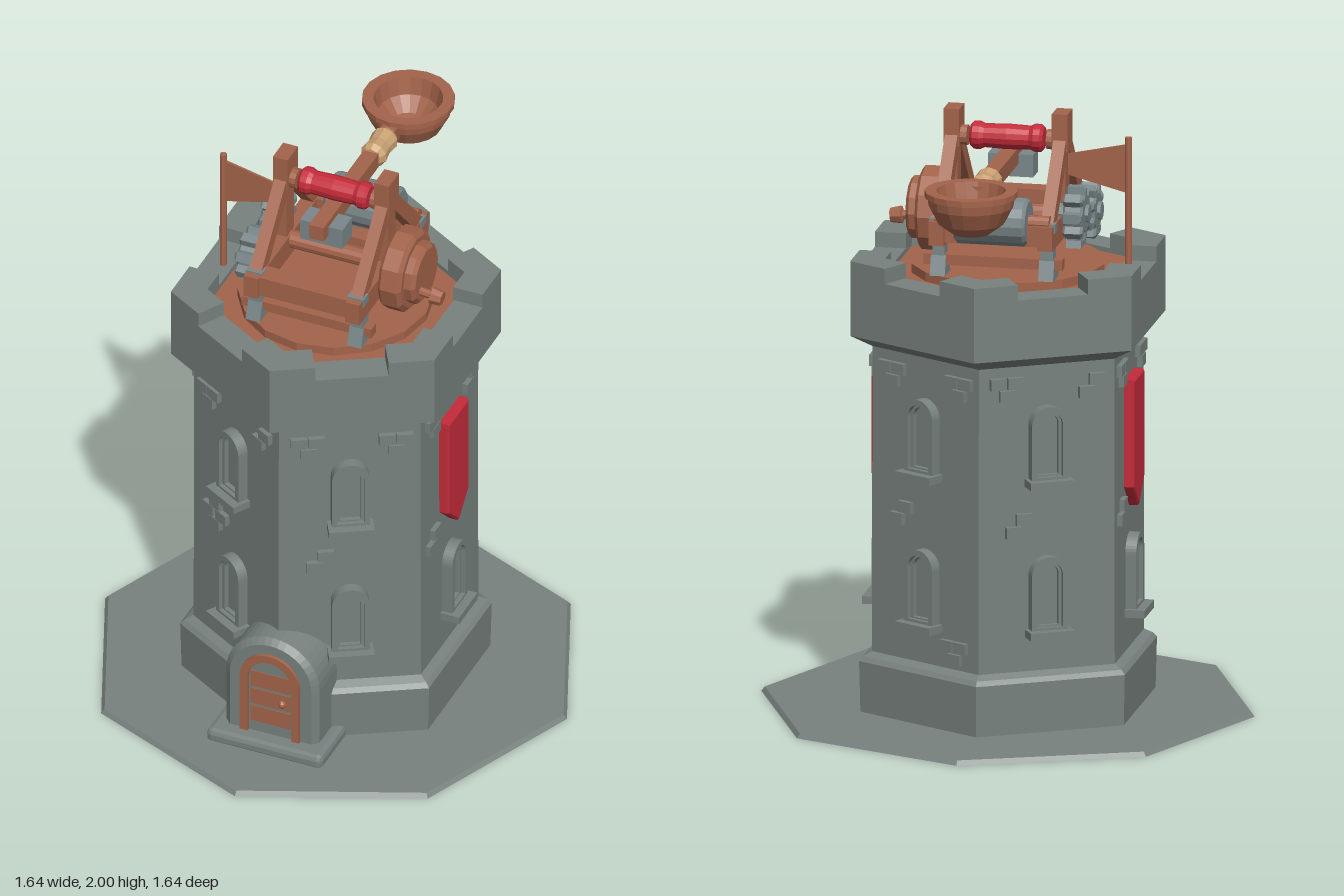
import * as THREE from 'three';
import { RoundedBoxGeometry } from 'three/addons/geometries/RoundedBoxGeometry.js';

const mat = (name, color, flat = true) => {
  const m = new THREE.MeshStandardMaterial({ color, flatShading: flat, side: THREE.DoubleSide });
  m.name = name;
  return m;
};

export function createModel() {
  const root = new THREE.Group();
  root.name = 'catapultTower';
  const stone = mat('stone grey', 0x77817e);
  const metal = mat('metal grey', 0x7a878a);
  const wood = mat('brown wood', 0xa3634a);
  const red = mat('red cloth', 0xc42b3a);
  const rope = mat('tan rope', 0xc9a172);

  const add = (parent, name, geo, m, x = 0, y = 0, z = 0) => {
    const mesh = new THREE.Mesh(geo, m);
    mesh.name = name;
    mesh.position.set(x, y, z);
    parent.add(mesh);
    return mesh;
  };
  const group = (parent, name) => {
    const g = new THREE.Group();
    g.name = name;
    parent.add(g);
    return g;
  };
  const box = (p, name, m, w, h, d, x, y, z) => add(p, name, new THREE.BoxGeometry(w, h, d), m, x, y, z);
  // Solid of revolution lying along x; profile points are [radius, x]
  const turned = (p, name, m, pts, sides, x, y, z) => {
    const mesh = add(p, name, new THREE.LatheGeometry(pts.map(([r, h]) => new THREE.Vector2(r, h)), sides), m, x, y, z);
    mesh.rotation.z = -Math.PI / 2;
    return mesh;
  };
  const rod = (p, name, m, r, len, x, y, z, sides = 12) =>
    turned(p, name, m, [[0, -len / 2], [r, -len / 2], [r, len / 2], [0, len / 2]], sides, x, y, z);
  const polygon = pts => new THREE.Shape(pts.map(([x, y]) => new THREE.Vector2(x, y)));
  const extrude = (shape, depth, bevel = 0) => new THREE.ExtrudeGeometry(shape, {
    depth, bevelEnabled: bevel > 0, bevelSize: bevel, bevelThickness: bevel, bevelOffset: -bevel, bevelSegments: 1, curveSegments: 10,
  });
  const arch = (hw, h, Type = THREE.Shape, y0 = 0) => {
    const s = new Type();
    s.moveTo(-hw, y0);
    s.lineTo(hw, y0);
    s.lineTo(hw, h - hw);
    s.absarc(0, h - hw, hw, 0, Math.PI, false);
    s.lineTo(-hw, y0);
    return s;
  };
  const archRing = (hw, h, t, y0 = 0) => {
    const s = arch(hw, h);
    s.holes.push(arch(hw - t, h - t, THREE.Path, y0));
    return s;
  };

  // Ground slab and six-sided tower
  add(root, 'groundSlab', new THREE.CylinderGeometry(0.808, 0.82, 0.015, 8), stone, 0, 0.0075, 0);
  const wall = [[0, 0.005], [0.505, 0.005], [0.51, 0.185], [0.496, 0.2], [0.466, 0.215], [0.464, 1.24],
    [0.54, 1.28], [0.54, 1.48], [0.422, 1.48], [0.422, 1.45]];
  add(root, 'towerWall', new THREE.LatheGeometry(wall.map(([r, y]) => new THREE.Vector2(r, y)), 6), stone);
  add(root, 'roofFloor', new THREE.CylinderGeometry(0.421, 0.421, 0.02, 6), wood, 0, 1.455, 0);
  add(root, 'turntable', new THREE.CylinderGeometry(0.32, 0.32, 0.04, 16), wood, 0, 1.475, 0);

  // Battlements wrapped round the corners
  const merlon = extrude(polygon([[0, -0.54], [0.13, -0.465], [0.078, -0.375], [0, -0.42], [-0.078, -0.375], [-0.13, -0.465]]), 0.055);
  merlon.rotateX(-Math.PI / 2);
  for (let i = 0; i < 6; i++) add(root, 'battlement', merlon, stone, 0, 1.476, 0).rotation.y = i * Math.PI / 3;

  // Wall details, one group per face
  const AP = 0.4;
  const addWindow = (face, y) => {
    const w = group(face, 'window');
    w.position.set(0, y, AP);
    add(w, 'windowFrame', extrude(archRing(0.062, 0.255, 0.018, 0.02), 0.04), stone, 0, 0.015, 0);
    add(w, 'windowInnerFrame', extrude(archRing(0.046, 0.235, 0.012, 0.02), 0.025), stone, 0, 0.02, 0);
    add(w, 'windowPane', extrude(arch(0.04, 0.22), 0.009), stone, 0, 0.02, 0);
    box(w, 'windowSill', stone, 0.15, 0.026, 0.08, 0, 0.013, 0.03);
  };
  const brickSets = {
    pair: [[-0.028, 0.022], [0.03, 0.022], [0.004, -0.02]],
    step: [[0.02, 0.022], [-0.015, -0.02]],
    cross: [[0, 0.04], [-0.035, 0], [0.035, 0], [0, -0.04]],
  };
  const addBricks = (face, u, y, set) => brickSets[set].forEach(([a, b]) =>
    box(face, 'raisedBrick', stone, 0.054, 0.038, 0.03, u + a, y + b, AP + 0.005));
  const banner = extrude(polygon([[-0.082, 1.13], [-0.082, 0.77], [0, 0.69], [0.082, 0.77], [0.082, 1.13]]), 0.036, 0.006);
  for (let i = 0; i < 6; i++) {
    const face = group(root, 'wallFace');
    face.rotation.y = Math.PI / 6 + i * Math.PI / 3;
    const side = i % 3 === 1;
    addWindow(face, 0.33);
    if (side) add(face, 'banner', banner, red, 0, 0, AP - 0.005);
    else addWindow(face, 0.835);
    addBricks(face, -0.14, 1.165, 'pair');
    addBricks(face, 0.15, 1.16, i % 2 ? 'step' : 'pair');
    if (i === 5) addBricks(face, -0.1, 0.715, 'cross');
    else addBricks(face, side ? -0.15 : -0.1, 0.705, 'step');
    if (i === 2) addBricks(face, 0.13, 0.27, 'pair');
  }

  // Doorway on the front corner
  const door = group(root, 'doorway');
  add(door, 'doorSurround', extrude(arch(0.165, 0.43), 0.19, 0.02), stone, 0, 0, 0.32);
  add(door, 'doorStep', new RoundedBoxGeometry(0.41, 0.055, 0.24, 1, 0.018), stone, 0, 0.0275, 0.47);
  add(door, 'doorFrame', extrude(archRing(0.105, 0.325, 0.028), 0.035), wood, 0, 0.05, 0.507);
  add(door, 'doorPanel', extrude(arch(0.078, 0.297), 0.018), wood, 0, 0.05, 0.507);
  for (const y of [0.125, 0.195, 0.265]) box(door, 'doorBoard', wood, 0.14, 0.06, 0.01, 0, y, 0.528);
  add(door, 'doorKnob', new THREE.SphereGeometry(0.014, 8, 6), wood, 0.045, 0.195, 0.54);

  // Flag on the left battlement gap
  add(root, 'flagPole', new THREE.CylinderGeometry(0.012, 0.012, 0.46, 8), wood, -0.4, 1.695, 0);
  add(root, 'flag', extrude(polygon([[-0.39, 1.9], [-0.39, 1.74], [-0.2, 1.79], [-0.2, 1.86]]), 0.008), wood, 0, 0, -0.004);

  // Catapult frame
  const cat = group(root, 'catapult');
  for (const s of [-1, 1]) {
    const x = s * 0.18;
    box(cat, 'sideBeam', wood, 0.05, 0.08, 0.56, x, 1.64, 0);
    box(cat, 'post', wood, 0.036, 0.28, 0.06, x, 1.78, 0);
    box(cat, 'postHead', wood, 0.052, 0.125, 0.084, x, 1.9375, 0);
    for (const f of [-1, 1]) {
      const leg = box(cat, 'slopingLeg', wood, 0.042, 0.33, 0.05, x, 1.78, f * 0.125);
      leg.rotation.x = -f * 0.72;
      // Foot clamps
      const foot = extrude(polygon([[-0.045, 1.495], [0.045, 1.495], [0.025, 1.56], [-0.025, 1.56]]), 0.05);
      foot.rotateY(Math.PI / 2);
      add(cat, 'footClamp', foot, metal, x - 0.025, 0, f * 0.22);
      box(cat, 'footBlock', metal, 0.04, 0.05, 0.05, x, 1.58, f * 0.22);
      box(cat, 'beamStrap', metal, 0.058, 0.03, 0.04, x, 1.67, f * 0.235);
    }
    rod(cat, 'rollerCap', wood, 0.034, 0.03, s * 0.147, 1.905, 0);
  }
  for (const f of [-1, 1]) {
    box(cat, 'crossBeam', wood, 0.4, 0.07, 0.07, 0, 1.645, f * 0.235);
    box(cat, 'lowerCrossBeam', wood, 0.46, 0.035, 0.04, 0, 1.545, f * 0.22);
  }

  // Padded roller, winch drum and axle
  turned(cat, 'paddedRoller', red, [[0, -0.122], [0.036, -0.122], [0.046, -0.112], [0.046, -0.09], [0.039, -0.075],
    [0.042, 0], [0.039, 0.075], [0.046, 0.09], [0.046, 0.112], [0.036, 0.122], [0, 0.122]], 14, 0, 1.907, 0);
  turned(cat, 'winchDrum', metal, [[0, -0.12], [0.07, -0.12], [0.08, -0.11], [0.08, 0.11], [0.07, 0.12], [0, 0.12]], 16, 0, 1.685, -0.24);
  rod(cat, 'drumAxle', wood, 0.025, 0.38, 0, 1.685, -0.24);
  rod(cat, 'mainAxle', wood, 0.03, 0.5, 0, 1.655, 0);

  // Throwing arm, binding and bowl
  box(cat, 'throwingArm', wood, 0.052, 0.054, 0.64, 0, 1.832, -0.16);
  box(cat, 'armBracket', metal, 0.15, 0.075, 0.08, 0, 1.8, 0.08);
  const binding = add(cat, 'ropeBinding', new THREE.LatheGeometry([[0, -0.066], [0.034, -0.066], [0.046, -0.045], [0.04, 0],
    [0.046, 0.045], [0.034, 0.066], [0, 0.066]].map(([r, h]) => new THREE.Vector2(r, h)), 10), rope, 0, 1.835, -0.35);
  binding.rotation.x = Math.PI / 2;
  const bowl = [[0, 0], [0.06, 0.008], [0.11, 0.045], [0.138, 0.1], [0.143, 0.13], [0.152, 0.132], [0.152, 0.152],
    [0.114, 0.152], [0.1, 0.09], [0.06, 0.045], [0, 0.03]];
  add(cat, 'bowl', new THREE.LatheGeometry(bowl.map(([r, y]) => new THREE.Vector2(r, y)), 18), wood, 0, 1.723, -0.587);

  // Crank wheel with handle
  turned(cat, 'crankWheel', wood, [[0, 0], [0.13, 0], [0.142, 0.012], [0.142, 0.068], [0.125, 0.08], [0.106, 0.08],
    [0.106, 0.105], [0.092, 0.117], [0, 0.117]], 12, 0.205, 1.655, 0);
  const handle = turned(cat, 'crankHandle', wood, [[0, 0], [0.015, 0], [0.015, 0.045], [0.03, 0.05], [0.024, 0.088], [0, 0.088]], 8, 0.312, 1.618, 0.048);
  handle.rotation.z = -Math.PI / 2 - 0.1;

  // Pair of toothed gears
  const teeth = [];
  for (let i = 0; i < 8; i++) {
    for (const [da, r] of [[-0.27, 0.066], [-0.17, 0.092], [0.17, 0.092], [0.27, 0.066]]) {
      const a = i * Math.PI / 4 + da;
      teeth.push([r * Math.cos(a), r * Math.sin(a)]);
    }
  }
  const gear = extrude(polygon(teeth), 0.05, 0.008);
  gear.translate(0, 0, -0.025);
  gear.rotateY(Math.PI / 2);
  for (const [y, z, turn] of [[1.685, -0.085, 0], [1.645, 0.11, 0.39]]) {
    add(cat, 'gear', gear, metal, -0.245, y, z).rotation.x = turn;
    rod(cat, 'gearHub', metal, 0.03, 0.1, -0.24, y, z, 8);
  }
  return root;
}
